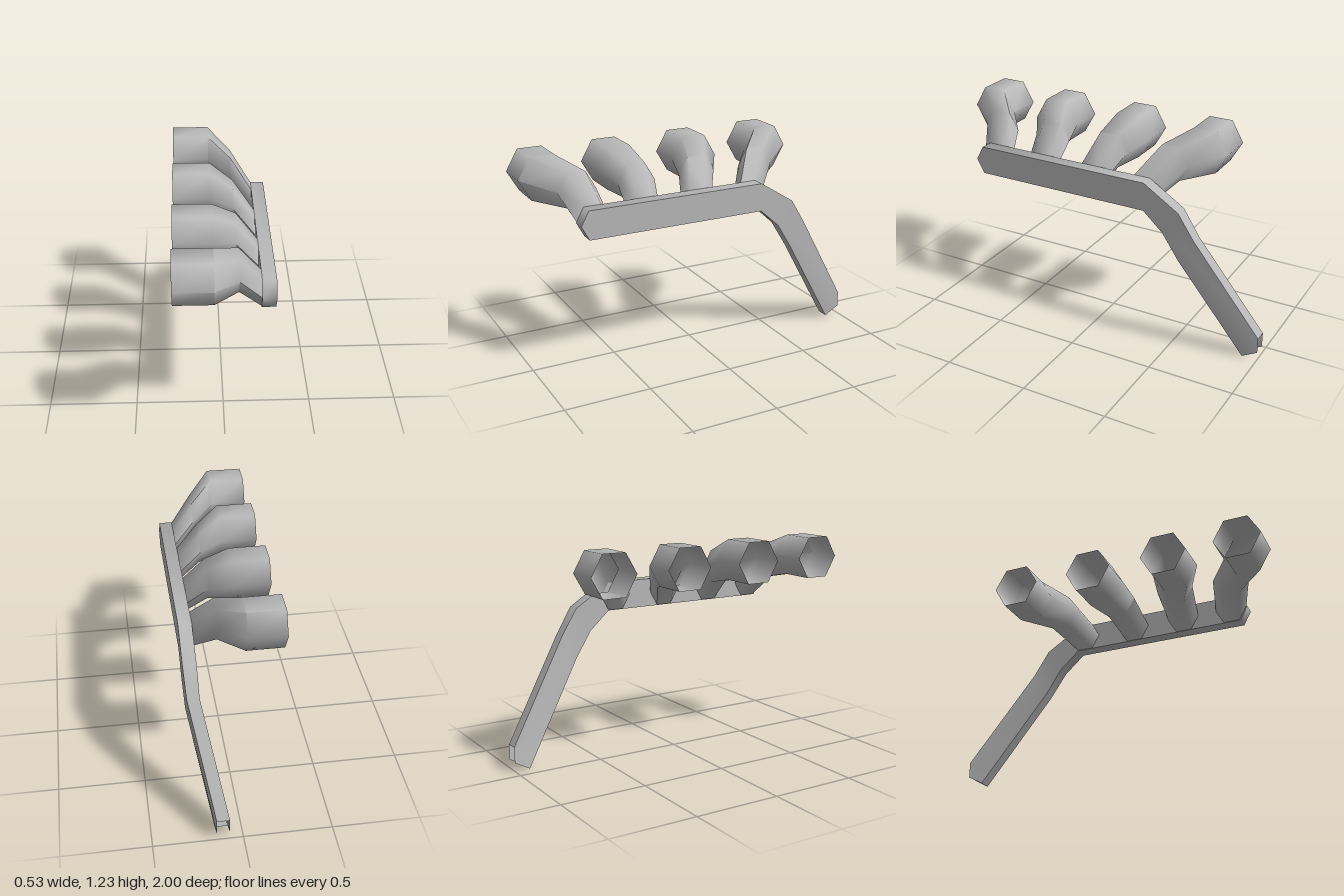
import * as THREE from 'three';
import { toCreasedNormals } from 'three/addons/utils/BufferGeometryUtils.js';

const metal = new THREE.MeshStandardMaterial({ color: 0xb8b8b8, side: THREE.DoubleSide });
metal.name = 'grey metal';

// Skins a list of equal-sized rings of [x, y, z] points; extra quads may close an end.
function loft(name, rings, capQuads = []) {
  const n = rings[0].length;
  const index = [];
  const quad = (a, b, c, d) => index.push(a, b, c, a, c, d);
  for (let i = 0; i < rings.length - 1; i++) {
    for (let j = 0; j < n; j++) {
      const k = (j + 1) % n;
      quad(i * n + j, (i + 1) * n + j, (i + 1) * n + k, i * n + k);
    }
  }
  capQuads.forEach((q) => quad(...q));
  const geometry = new THREE.BufferGeometry();
  geometry.setAttribute('position', new THREE.Float32BufferAttribute(rings.flat(2), 3));
  geometry.setIndex(index);
  const mesh = new THREE.Mesh(toCreasedNormals(geometry, 1.2), metal);
  mesh.name = name;
  return mesh;
}

// Hexagon facing along x, with points at its z extremes.
function hexRing(x, y, z, r) {
  return Array.from({ length: 6 }, (_, i) => {
    const a = (i * Math.PI) / 3;
    return [x, y + r * Math.sin(a), z + r * Math.cos(a)];
  });
}

// Flat pipe section: bottom, middle and top given as [z, y], between two x values.
function flatRing(inner, outer, bottom, middle, top) {
  const at = (x) => ([z, y]) => [x, y, z];
  return [...[bottom, middle, top].map(at(outer)), ...[top, middle, bottom].map(at(inner))];
}

export function createModel() {
  const model = new THREE.Group();
  model.name = 'exhaustManifold';

  // Four open inlet pipes: z of the mouth, of the bend and of the joint
  const inlets = [
    [0.86, 0.72, 0.675],
    [0.417, 0.367, 0.375],
    [-0.06, -0.01, 0.052],
    [-0.54, -0.397, -0.28],
  ];
  inlets.forEach(([mouth, bend, joint], i) => {
    model.add(loft(`inletPipe${i + 1}`, [
      hexRing(-0.268, 1.107, mouth, 0.14),
      hexRing(-0.06, 1.107, mouth, 0.14),
      hexRing(0.07, 1.053, bend, 0.112),
      hexRing(0.192, 0.91, joint, 0.094),
    ]));
  });

  // Collector with closed pointed front, bending into the open downpipe
  model.add(loft('collectorAndDownpipe', [
    flatRing(0.19, 0.266, [0.73, 0.828], [0.775, 0.91], [0.73, 0.993]),
    flatRing(0.19, 0.266, [-0.33, 0.828], [-0.33, 0.91], [-0.33, 0.993]),
    flatRing(0.19, 0.266, [-0.45, 0.72], [-0.495, 0.79], [-0.54, 0.86]),
    flatRing(0.188, 0.258, [-0.545, 0.57], [-0.59, 0.64], [-0.635, 0.71]),
    flatRing(0.075, 0.147, [-0.91, 0], [-1, 0.05], [-1, 0.14]),
  ], [[5, 0, 1, 4], [4, 1, 2, 3]]));

  return model;
}
